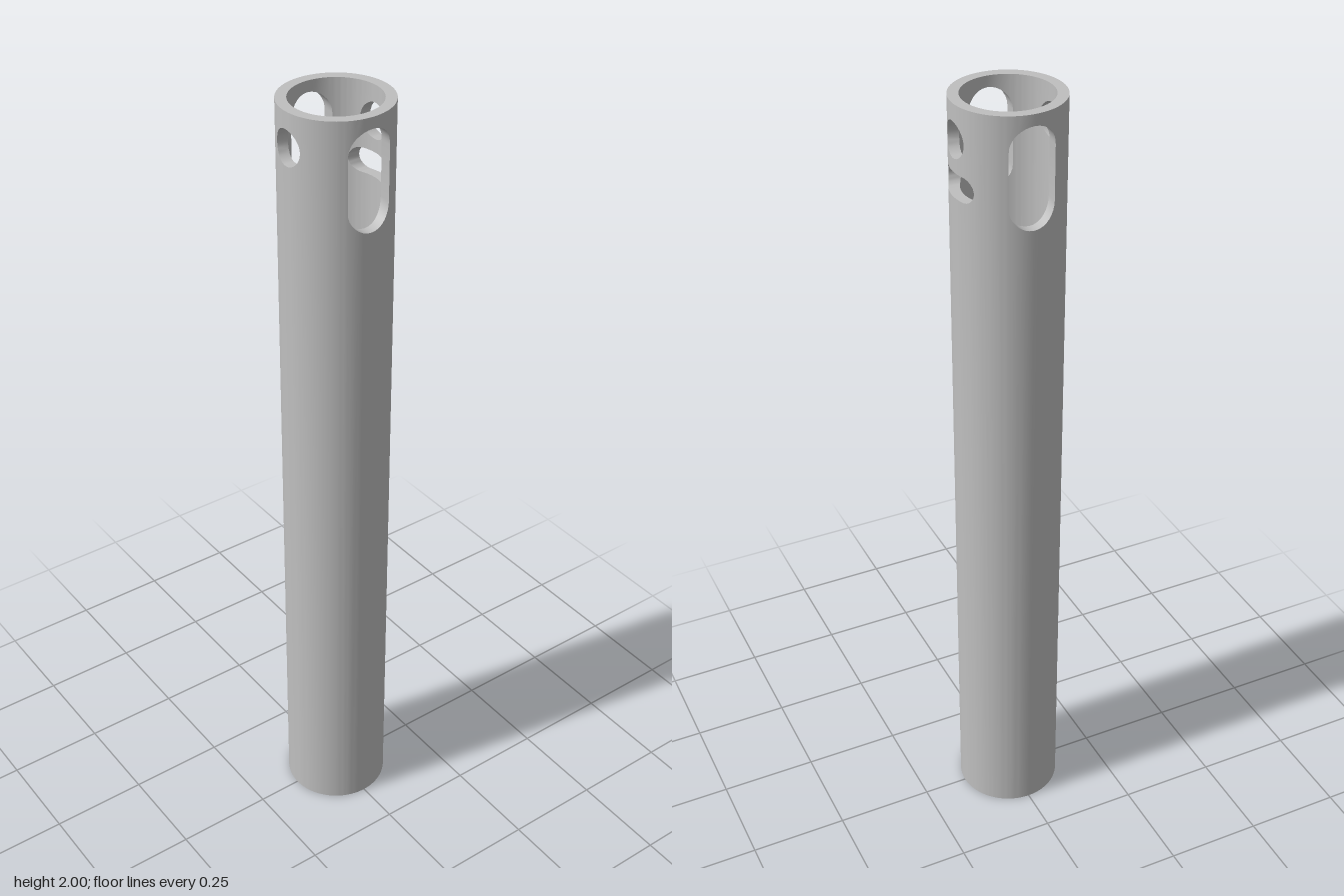
import * as THREE from 'three';
import { toCreasedNormals } from 'three/addons/utils/BufferGeometryUtils.js';

const OUTER = 0.133, INNER = 0.107, HEIGHT = 2;

// Openings per side, low to high: centre height, half width, half height
const round = { y: 1.916, a: 0.043, b: 0.043 };
const tallSlot = { y: 1.851, a: 0.056, b: 0.122 };
const crossSlot = { y: 1.811, a: 0.068, b: 0.03 };
const sides = [[round], [tallSlot], [crossSlot, round], [tallSlot]];

// Half height of a round-ended opening at offset u from its centre line
function halfHeight({ a, b }, u) {
  const r = Math.min(a, b);
  const d = Math.max(0, Math.abs(u) - (a - r));
  return b - r + Math.sqrt(Math.max(0, r * r - d * d));
}

// Column edges of one quarter: matching outer and inner angles. Openings are
// drilled straight, so the same offset u gives two different angles.
function columnEdges(holes) {
  const offsets = new Set();
  for (const { a, b } of holes) {
    const r = Math.min(a, b);
    for (let k = 0; k <= 8; k++) {
      const u = a - r + r * Math.sin((k / 8) * Math.PI / 2);
      offsets.add(+u.toFixed(5)).add(+(-u).toFixed(5) + 0);
    }
  }
  const edges = [...offsets].sort((p, q) => p - q)
    .map(u => ({ u, o: Math.asin(u / OUTER), i: Math.asin(u / INNER) }));
  const last = edges[edges.length - 1], plain = [];
  for (let k = 1; k <= 6; k++) {
    plain.push({
      u: last.u + k,
      o: THREE.MathUtils.lerp(last.o, Math.PI / 4, k / 6),
      i: THREE.MathUtils.lerp(last.i, Math.PI / 4, k / 6),
    });
  }
  const mirrored = plain.map(e => ({ u: -e.u, o: -e.o, i: -e.i })).reverse();
  return [...mirrored, ...edges, ...plain];
}

function tubeGeometry() {
  const pos = [];
  const quad = (a, b, c, d) => pos.push(...a, ...b, ...c, ...a, ...c, ...d);

  sides.forEach((holes, side) => {
    const turn = side * Math.PI / 2;
    const out = (e, y) => [OUTER * Math.sin(e.o + turn), y, OUTER * Math.cos(e.o + turn)];
    const inn = (e, y) => [INNER * Math.sin(e.i + turn), y, INNER * Math.cos(e.i + turn)];
    const edges = columnEdges(holes);

    for (let k = 0; k < edges.length - 1; k++) {
      const l = edges[k], r = edges[k + 1], mid = (l.u + r.u) / 2;
      // Heights at the left and right edge where solid wall starts and stops
      const levels = [[0, 0]];
      for (const h of holes) {
        if (Math.abs(mid) > h.a) continue;
        const hl = halfHeight(h, l.u), hr = halfHeight(h, r.u);
        levels.push([h.y - hl, h.y - hr], [h.y + hl, h.y + hr]);
      }
      levels.push([HEIGHT, HEIGHT]);
      for (let n = 0; n < levels.length; n += 2) {
        const [l0, r0] = levels[n], [l1, r1] = levels[n + 1];
        quad(out(l, l0), out(r, r0), out(r, r1), out(l, l1));
        quad(inn(r, r0), inn(l, l0), inn(l, l1), inn(r, r1));
        quad(out(l, l1), out(r, r1), inn(r, r1), inn(l, l1));
        quad(inn(l, l0), inn(r, r0), out(r, r0), out(l, l0));
      }
    }

    // Straight upright walls of the tall slots
    for (const h of holes) {
      if (h.b <= h.a) continue;
      const lo = h.y - (h.b - h.a), hi = h.y + (h.b - h.a);
      const within = edges.filter(e => Math.abs(e.u) < h.a + 1e-4);
      const l = within[0], r = within[within.length - 1];
      quad(out(l, lo), inn(l, lo), inn(l, hi), out(l, hi));
      quad(inn(r, lo), out(r, lo), out(r, hi), inn(r, hi));
    }
  });

  const geometry = new THREE.BufferGeometry();
  geometry.setAttribute('position', new THREE.Float32BufferAttribute(pos, 3));
  return toCreasedNormals(geometry, 0.6);
}

export function createModel() {
  const metal = new THREE.MeshStandardMaterial({ color: 0xbfbfbf });
  metal.name = 'grey metal';
  const tube = new THREE.Mesh(tubeGeometry(), metal);
  tube.name = 'slottedTube';
  const model = new THREE.Group();
  model.name = 'drilledTube';
  model.add(tube);
  return model;
}
